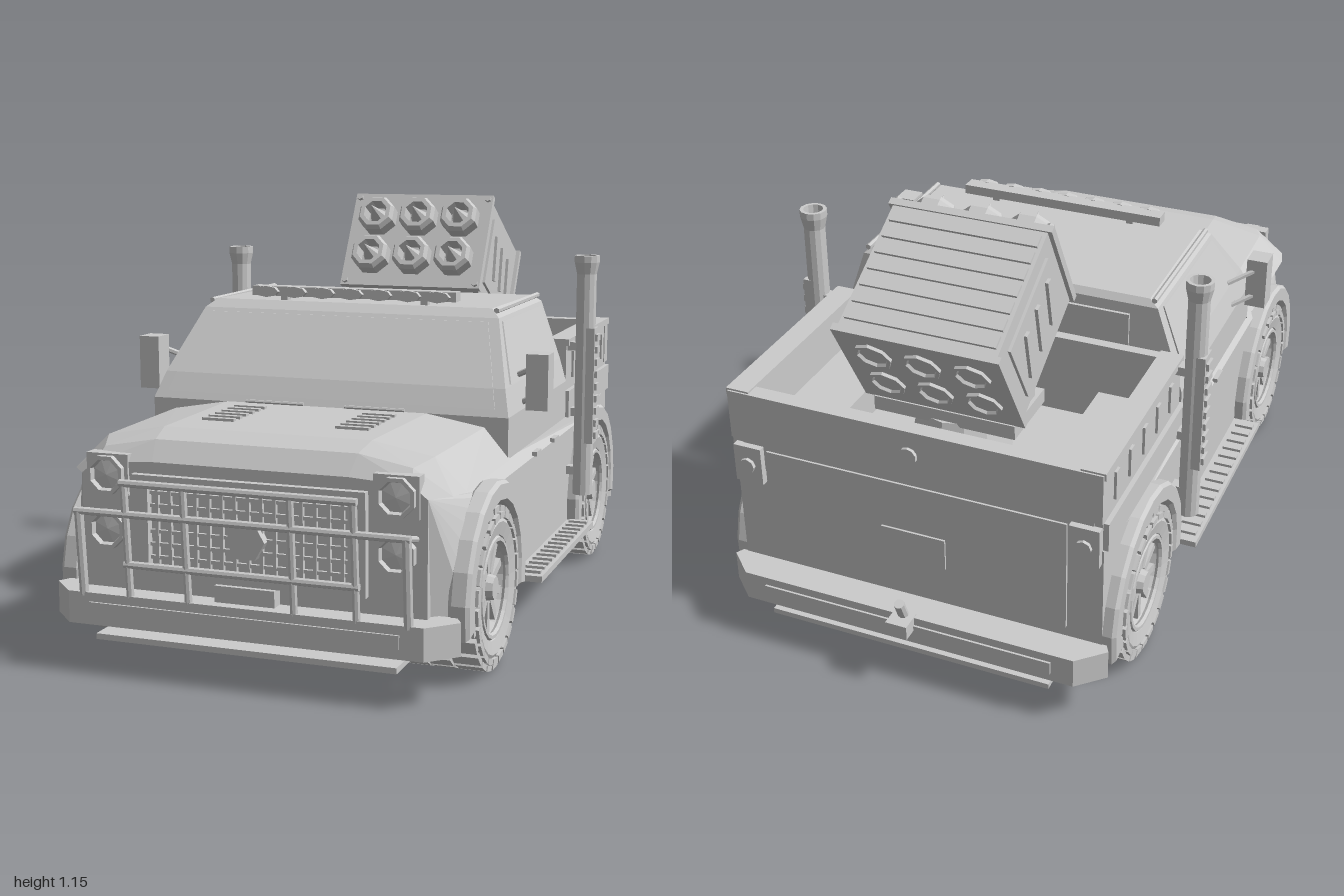
import * as THREE from 'three';
import { ConvexGeometry } from 'three/addons/geometries/ConvexGeometry.js';

const mat = new THREE.MeshStandardMaterial({ color: 0xcccccc, flatShading: true });
const { PI, sin, cos } = Math;

function add(parent, name, geo, x = 0, y = 0, z = 0) {
  const m = new THREE.Mesh(geo, mat);
  m.name = name;
  m.position.set(x, y, z);
  parent.add(m);
  return m;
}
// Box given by its extents
const box = (p, name, x0, x1, y0, y1, z0, z1) =>
  add(p, name, new THREE.BoxGeometry(Math.abs(x1 - x0), y1 - y0, z1 - z0), (x0 + x1) / 2, (y0 + y1) / 2, (z0 + z1) / 2);
// Round bar between two points
function rod(p, name, a, b, r, sides = 8) {
  const A = new THREE.Vector3(...a), B = new THREE.Vector3(...b), d = B.clone().sub(A);
  const m = add(p, name, new THREE.CylinderGeometry(r, r, d.length(), sides));
  m.position.copy(A).add(B).multiplyScalar(0.5);
  m.quaternion.setFromUnitVectors(new THREE.Vector3(0, 1, 0), d.normalize());
  return m;
}
// Convex body from points; mirrored across x when asked
function hull(p, name, pts, mirror = true) {
  const all = pts.flatMap(([x, y, z]) => mirror ? [[x, y, z], [-x, y, z]] : [[x, y, z]]);
  return add(p, name, new ConvexGeometry(all.map(q => new THREE.Vector3(...q))));
}
const lathe = (pts, n) => new THREE.LatheGeometry(pts.map(q => new THREE.Vector2(...q)), n);
const group = (p, name) => { const g = new THREE.Group(); g.name = name; p.add(g); return g; };
const sides = fn => [1, -1].forEach(fn);
const AXLES = [0.6, -0.595];

function addWheel(p, s, z) {
  const w = group(p, 'wheel');
  w.position.set(s * 0.435, 0.21, z);
  w.scale.x = s;
  const tire = lathe([[0, -0.07], [0.12, -0.07], [0.135, -0.105], [0.17, -0.112], [0.192, -0.1], [0.2, -0.08], [0.2, 0.08],
    [0.192, 0.1], [0.17, 0.112], [0.135, 0.105], [0.122, 0.065], [0, 0.06]], 24).rotateZ(-PI / 2);
  add(w, 'tire', tire);
  for (let i = 0; i < 24; i++) {
    [[-0.072, 0.202, 0.07], [0, 0.202, 0.06], [0.072, 0.202, 0.07], [0.095, 0.186, 0.04], [-0.095, 0.186, 0.04]].forEach(([x, r, wd], k) => {
      const a = (i + (k % 2) * 0.5) * PI / 12;
      const t = add(w, 'treadBlock', new THREE.BoxGeometry(wd, 0.016, 0.04), x, r * cos(a), r * sin(a));
      t.rotation.x = a;
    });
  }
  add(w, 'rimRing', new THREE.TorusGeometry(0.125, 0.009, 6, 24).rotateY(PI / 2), 0.1);
  for (let i = 0; i < 10; i++) {
    const a = i * PI / 5;
    const sp = add(w, 'spoke', new THREE.BoxGeometry(0.025, 0.085, 0.022), 0.075, 0.078 * cos(a), 0.078 * sin(a));
    sp.rotation.x = a;
  }
  add(w, 'hub', new THREE.CylinderGeometry(0.03, 0.042, 0.05, 10).rotateZ(-PI / 2), 0.08);
}

function addBody(g) {
  // Lower body: side outline with wheel tunnels, narrowed at the nose
  const s = new THREE.Shape();
  s.moveTo(0.91, 0.5); s.lineTo(-0.87, 0.5); s.lineTo(-0.87, 0.16);
  [...AXLES].reverse().forEach(z => s.absarc(z, 0.21, 0.25, PI + 0.2, -0.2, true));
  s.lineTo(0.88, 0.16); s.lineTo(0.91, 0.2);
  const geo = new THREE.ExtrudeGeometry(s, { depth: 1.03, bevelEnabled: false, curveSegments: 8 });
  geo.rotateY(-PI / 2).translate(0.515, 0, 0);
  const v = geo.attributes.position;
  for (let i = 0; i < v.count; i++) if (v.getZ(i) > 0.87) v.setX(i, v.getX(i) * 0.89);
  add(g, 'lowerBody', geo);
  hull(g, 'hood', [[0.29, 0.61, 0.39], [0.45, 0.582, 0.39], [0.52, 0.5, 0.39], [0.28, 0.61, 0.8], [0.44, 0.58, 0.8],
    [0.52, 0.5, 0.8], [0.27, 0.59, 0.87], [0.41, 0.565, 0.875], [0.505, 0.5, 0.86], [0.26, 0.54, 0.912], [0.42, 0.53, 0.912], [0.458, 0.5, 0.912]]);
  hull(g, 'cab', [[0.515, 0.5, 0.4], [0.515, 0.5, -0.27], [0.515, 0.61, 0.4], [0.515, 0.61, -0.27], [0.495, 0.68, 0.36],
    [0.495, 0.68, -0.27], [0.437, 0.85, 0.22], [0.437, 0.85, -0.265], [0.41, 0.873, 0.19], [0.41, 0.868, -0.25]]);
  hull(g, 'windshield', [[0.475, 0.63, 0.392], [0.462, 0.68, 0.363], [0.41, 0.84, 0.231], [0.475, 0.63, 0.36], [0.41, 0.84, 0.2]]);
  box(g, 'rearWindow', -0.36, 0.36, 0.68, 0.82, -0.275, -0.25);
  box(g, 'underFloor', -0.5, 0.5, 0.15, 0.17, -0.34, 0.35);
  sides(k => {
    hull(g, 'sideWindow', [[0.498, 0.685, 0.31], [0.498, 0.685, -0.23], [0.444, 0.84, 0.2], [0.444, 0.84, -0.23],
      [0.47, 0.685, 0.31], [0.47, 0.685, -0.23], [0.41, 0.84, 0.2], [0.41, 0.84, -0.23]].map(([x, y, z]) => [k * x, y, z]), false);
    rod(g, 'roofGutter', [k * 0.425, 0.868, 0.2], [k * 0.425, 0.868, -0.26], 0.008, 6);
    [0.09, -0.125].forEach(z => box(g, 'doorHandle', k * 0.51, k * 0.524, 0.455, 0.467, z - 0.028, z + 0.028));
    rod(g, 'wiper', [k * 0.06, 0.615, 0.405], [k * 0.23, 0.615, 0.405], 0.005, 6);
    for (let i = 0; i < 6; i++) box(g, 'hoodLouver', k * 0.14, k * 0.23, 0.6, 0.617, 0.47 + i * 0.04, 0.487 + i * 0.04);
    // Wheel arch flares
    AXLES.forEach(z => {
      const f = new THREE.Shape();
      f.absarc(z, 0.21, 0.268, -0.2, PI + 0.2, false);
      f.absarc(z, 0.21, 0.228, PI + 0.2, -0.2, true);
      const fg = new THREE.ExtrudeGeometry(f, { depth: 0.035, bevelSize: 0.008, bevelThickness: 0.01, bevelSegments: 1, curveSegments: 6 });
      add(g, 'archFlare', fg.rotateY(-PI / 2).translate(0.0175, 0, 0), k * 0.523);
    });
    // Side step with slats
    box(g, 'sideStep', k * 0.5, k * 0.595, 0.155, 0.172, -0.33, 0.33);
    for (let i = 0; i < 14; i++) box(g, 'stepSlat', k * 0.53, k * 0.585, 0.17, 0.18, -0.3 + i * 0.045, -0.28 + i * 0.045);
    // Mirror on two arms
    box(g, 'mirror', k * 0.54, k * 0.6, 0.62, 0.77, 0.255, 0.32);
    [0.62, 0.7].forEach(y => rod(g, 'mirrorArm', [k * 0.495, y, 0.22], [k * 0.575, y + 0.04, 0.27], 0.008, 6));
    // Exhaust stack with slatted guard
    add(g, 'exhaustStack', lathe([[0, 0.26], [0.03, 0.26], [0.03, 0.93], [0.038, 0.965], [0.038, 0.985], [0.028, 0.985], [0.024, 0.93], [0, 0.93]], 12), k * 0.563, 0, -0.312);
    box(g, 'stackGuard', k * 0.57, k * 0.596, 0.42, 0.77, -0.34, -0.284);
    for (let i = 0; i < 9; i++) box(g, 'guardSlat', k * 0.59, k * 0.604, 0.435 + i * 0.037, 0.455 + i * 0.037, -0.332, -0.292);
    [0.32, 0.5, 0.7].forEach(y => box(g, 'stackBracket', k * 0.5, k * 0.56, y, y + 0.025, -0.33, -0.295));
  });
}

function addBed(g) {
  box(g, 'bedFrontWall', -0.5, 0.5, 0.5, 0.73, -0.31, -0.28);
  box(g, 'tailgate', -0.49, 0.49, 0.5, 0.6, -0.872, -0.83);
  box(g, 'tailgateBand', -0.515, 0.515, 0.59, 0.73, -0.885, -0.84);
  box(g, 'tailgatePanel', -0.42, 0.42, 0.24, 0.56, -0.878, -0.86);
  box(g, 'rearPlate', -0.09, 0.09, 0.33, 0.42, -0.884, -0.87);
  add(g, 'tailgateButton', new THREE.CylinderGeometry(0.025, 0.025, 0.015, 10).rotateX(PI / 2), 0, 0.66, -0.887);
  sides(k => {
    box(g, 'bedShoulder', k * 0.46, k * 0.525, 0.5, 0.58, -0.865, -0.27);
    box(g, 'bedSide', k * 0.465, k * 0.512, 0.57, 0.73, -0.87, -0.28);
    box(g, 'bedRail', k * 0.455, k * 0.52, 0.715, 0.735, -0.88, -0.28);
    box(g, 'wheelBox', k * 0.295, k * 0.47, 0.5, 0.59, -0.77, -0.32);
    for (let i = 0; i < 5; i++) box(g, 'bedStake', k * 0.505, k * 0.519, 0.61, 0.69, -0.8 + i * 0.105, -0.775 + i * 0.105);
    box(g, 'tailLight', k * 0.43, k * 0.51, 0.46, 0.57, -0.89, -0.86);
    add(g, 'tailLamp', new THREE.CylinderGeometry(0.022, 0.022, 0.02, 8).rotateX(PI / 2), k * 0.47, 0.515, -0.89);
    add(g, 'tieDown', new THREE.CylinderGeometry(0.05, 0.05, 0.02, 10), k * 0.37, 0.51, -0.79);
  });
}

// Bumpers share a plan: straight beam with swept-back ends
function addBumper(g, name, k, z0, z1) {
  hull(g, name, [0.125, 0.208].flatMap(y => [[0.47, y, k * z1], [0.54, y, k * (z0 + 0.035)], [0.52, y, k * z0]]));
  box(g, name + 'Inset', -0.41, 0.41, 0.15, 0.185, Math.min(k * z0, k * (z1 + 0.006)), Math.max(k * z0, k * (z1 + 0.006)));
  box(g, name + 'Skid', -0.4, 0.4, 0.085, 0.1, Math.min(k * 0.83, k * (z1 - 0.01)), Math.max(k * 0.83, k * (z1 - 0.01)));
}

function addFront(g) {
  addBumper(g, 'frontBumper', 1, 0.87, 0.975);
  addBumper(g, 'rearBumper', -1, 0.855, 0.955);
  box(g, 'hitch', -0.03, 0.03, 0.17, 0.21, -1, -0.94);
  rod(g, 'hitchLever', [0, 0.2, -0.95], [0, 0.26, -0.975], 0.014);
  box(g, 'frontPlate', -0.08, 0.08, 0.2, 0.25, 0.91, 0.945);
  // Grille frame and mesh
  [[-0.31, 0.31, 0.485, 0.51], [-0.31, 0.31, 0.25, 0.275], [-0.31, -0.265, 0.25, 0.51], [0.265, 0.31, 0.25, 0.51]]
    .forEach(([a, b, c, d]) => box(g, 'grilleFrame', a, b, c, d, 0.9, 0.932));
  for (let i = 0; i < 15; i++) box(g, 'grilleBar', -0.25 + i * 0.0352, -0.241 + i * 0.0352, 0.27, 0.49, 0.905, 0.921);
  for (let i = 0; i < 6; i++) box(g, 'grilleRow', -0.27, 0.27, 0.295 + i * 0.033, 0.304 + i * 0.033, 0.905, 0.919);
  add(g, 'grilleBadge', new THREE.CylinderGeometry(0.052, 0.052, 0.025, 6).rotateY(PI / 6).rotateX(PI / 2), 0, 0.365, 0.925);
  sides(k => {
    // Headlights: octagonal rims around a lens
    box(g, 'headlightPanel', k * 0.325, k * 0.44, 0.45, 0.555, 0.88, 0.918);
    [0.502, 0.363].forEach(y => {
      const rim = lathe([[0.052, 0], [0.052, 0.022], [0.042, 0.022], [0.038, 0.008], [0, 0.012]], 8).rotateY(PI / 8).rotateX(PI / 2);
      add(g, 'headlight', rim, k * 0.383, y, 0.912);
    });
    // Bull bar uprights and stays
    [0.14, 0.3].forEach(x => rod(g, 'bullBarUpright', [k * x, 0.2, 0.965], [k * x, 0.5, 0.988], 0.01));
    rod(g, 'bullBarOuter', [k * 0.43, 0.2, 0.965], [k * 0.43, 0.42, 0.982], 0.012);
    rod(g, 'bullBarStay', [k * 0.43, 0.42, 0.98], [k * 0.43, 0.4, 0.9], 0.008);
  });
  [[0.44, 0.42], [0.31, 0.29], [0.31, 0.5]].forEach(([x, y]) => rod(g, 'bullBarRail', [-x, y, 0.95 + y * 0.08], [x, y, 0.95 + y * 0.08], 0.01));
  // Roof light bar
  box(g, 'lightBar', -0.305, 0.305, 0.885, 0.912, 0.14, 0.185);
  for (let i = -3; i <= 3; i++) add(g, 'roofLight', new THREE.CylinderGeometry(0.02, 0.02, 0.022, 8).rotateX(PI / 2).scale(1.8, 0.8, 1), i * 0.085, 0.898, 0.19);
  sides(k => box(g, 'lightBarFoot', k * 0.2, k * 0.22, 0.86, 0.89, 0.15, 0.175));
}

function addLauncher(g) {
  add(g, 'launcherPedestal', new THREE.CylinderGeometry(0.11, 0.14, 0.14, 12), 0, 0.57, -0.58);
  box(g, 'launcherTurntable', -0.2, 0.2, 0.63, 0.67, -0.68, -0.48);
  sides(k => box(g, 'launcherYoke', k * 0.15, k * 0.19, 0.65, 0.8, -0.64, -0.52));
  const l = group(g, 'launcher');
  l.position.set(0, 0.91, -0.577);
  l.rotation.x = -PI / 6;
  box(l, 'launcherBox', -0.215, 0.215, -0.155, 0.155, -0.2, 0.195);
  box(l, 'launcherFrontPlate', -0.227, 0.227, -0.16, 0.16, 0.185, 0.205);
  box(l, 'launcherBackPlate', -0.227, 0.227, -0.16, 0.16, -0.205, -0.185);
  for (let i = 0; i < 7; i++) box(l, 'topRib', -0.205, 0.205, 0.15, 0.163, -0.165 + i * 0.05, -0.13 + i * 0.05);
  sides(k => {
    box(l, 'sidePanel', k * 0.2, k * 0.223, -0.11, 0.11, -0.14, 0.14);
    for (let i = -1; i <= 1; i++) {
      const slat = box(l, 'sideSlat', k * 0.215, k * 0.232, -0.07, 0.07, i * 0.08 - 0.01, i * 0.08 + 0.01);
      slat.rotation.x = 0.3;
    }
    sides(j => add(l, 'cornerBolt', new THREE.CylinderGeometry(0.01, 0.01, 0.015, 6).rotateX(PI / 2), k * 0.212, j * 0.145, 0.208));
    // Launch tubes, noses and rear vents
    [-0.135, 0, 0.135].forEach(x => {
      const y = k * 0.067 + 0.005;
      add(l, 'launchTube', lathe([[0.061, 0], [0.061, 0.04], [0.052, 0.055], [0.038, 0.055], [0.034, 0.01], [0, 0.01]], 8).rotateY(PI / 8).rotateX(PI / 2), x, y, 0.203);
      add(l, 'rocketNose', new THREE.ConeGeometry(0.028, 0.085, 8).rotateX(PI / 2), x, y, 0.255);
      add(l, 'rearVent', lathe([[0.052, 0], [0.052, 0.01], [0.042, 0.01], [0.038, 0.002], [0, 0.002]], 8).rotateX(-PI / 2), x, y - 0.005, -0.204);
    });
  });
}

export function createModel() {
  const g = new THREE.Group();
  g.name = 'pickupTruck';
  addBody(group(g, 'body'));
  addBed(group(g, 'bed'));
  addFront(group(g, 'frontAndTrim'));
  addLauncher(group(g, 'launcherMount'));
  AXLES.forEach(z => sides(s => addWheel(g, s, z)));
  return g;
}
